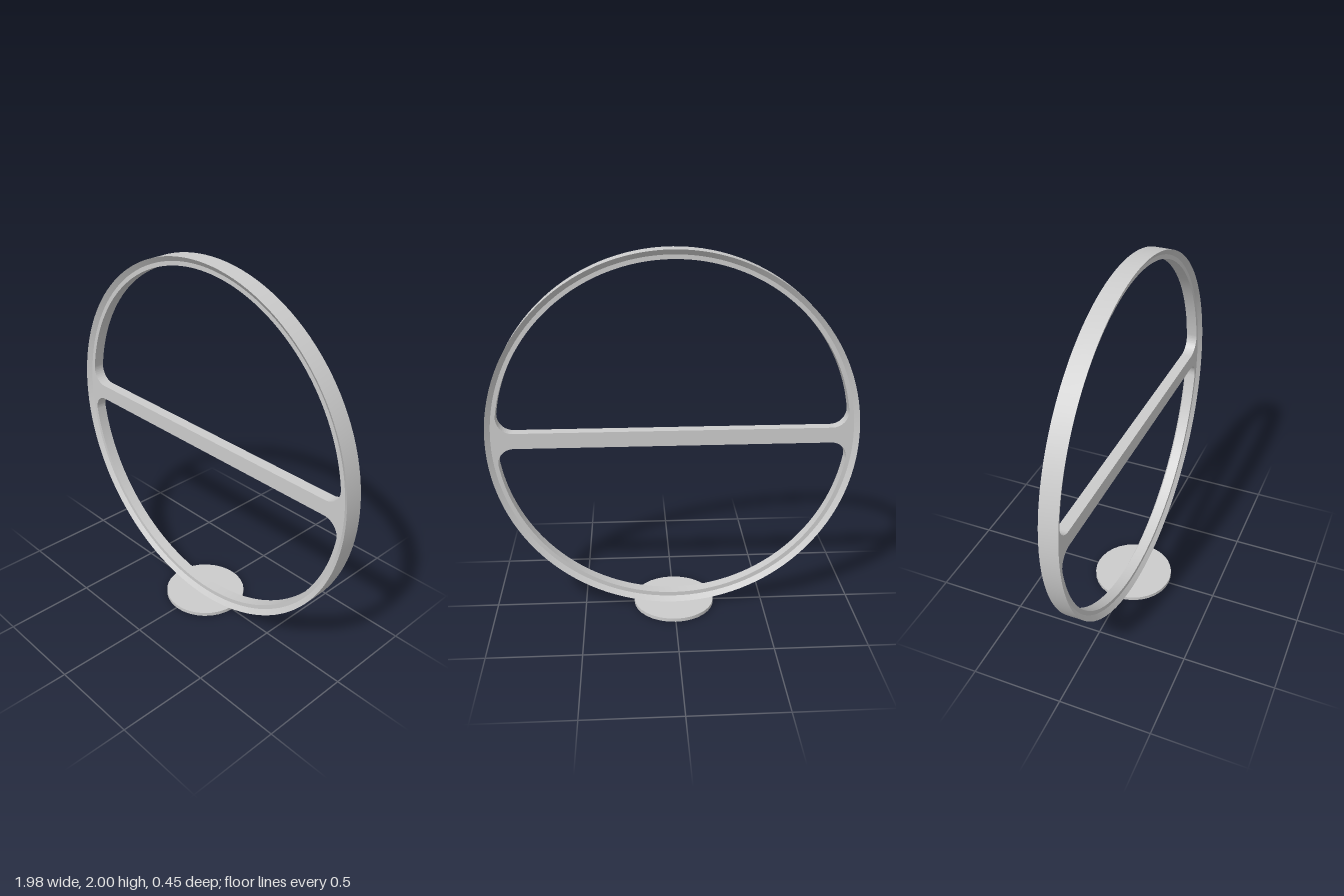
import * as THREE from 'three';
import { toCreasedNormals } from 'three/addons/utils/BufferGeometryUtils.js';

const CENTER_Y = 1.01;
const OUTER = 0.99, LIP = 0.963, INNER = 0.94; // ring radii
const HALF_DEPTH = 0.05, HALF_PLATE = 0.03;    // rim and recessed face, in z
const BAR = 0.0425, FILLET = 0.085;            // half bar height, corner radius

// Half-moon opening with rounded corners, above (s = 1) or below (s = -1) the bar
function opening(s) {
  const cy = BAR + FILLET;
  const cx = Math.sqrt((INNER - FILLET) ** 2 - cy * cy);
  const a = Math.atan2(cy, cx); // where the corner meets the ring
  const path = new THREE.Path();
  const cw = s < 0;
  path.absarc(0, 0, INNER, s * a, s * (Math.PI - a), cw);
  path.absarc(-cx, s * cy, FILLET, s * (Math.PI - a), s * Math.PI * 1.5, cw);
  path.absarc(cx, s * cy, FILLET, -s * Math.PI / 2, s * a, cw);
  path.closePath();
  return path;
}

export function createModel() {
  const group = new THREE.Group();
  const material = new THREE.MeshStandardMaterial({ color: 0xcccccc });
  const add = (name, geometry, y) => {
    const mesh = new THREE.Mesh(toCreasedNormals(geometry, Math.PI / 7), material);
    mesh.name = name;
    mesh.position.y = y;
    group.add(mesh);
  };

  // Outer rim, with a sloped lip on both sides
  const rim = new THREE.LatheGeometry([
    new THREE.Vector2(LIP, -HALF_PLATE),
    new THREE.Vector2(OUTER, -HALF_DEPTH),
    new THREE.Vector2(OUTER, HALF_DEPTH),
    new THREE.Vector2(LIP, HALF_PLATE),
  ], 128);
  rim.rotateX(Math.PI / 2);
  add('rim', rim, CENTER_Y);

  // Recessed inner ring and crossbar in one piece
  const shape = new THREE.Shape();
  shape.absarc(0, 0, LIP + 0.005, 0, Math.PI * 2, false);
  shape.holes.push(opening(1), opening(-1));
  const plate = new THREE.ExtrudeGeometry(shape, {
    depth: HALF_PLATE * 2, bevelEnabled: false, curveSegments: 48,
  });
  plate.translate(0, 0, -HALF_PLATE);
  add('innerRingAndCrossbar', plate, CENTER_Y);

  // Flat round foot
  add('base', new THREE.CylinderGeometry(0.225, 0.225, 0.02, 32), 0.01);

  return group;
}
